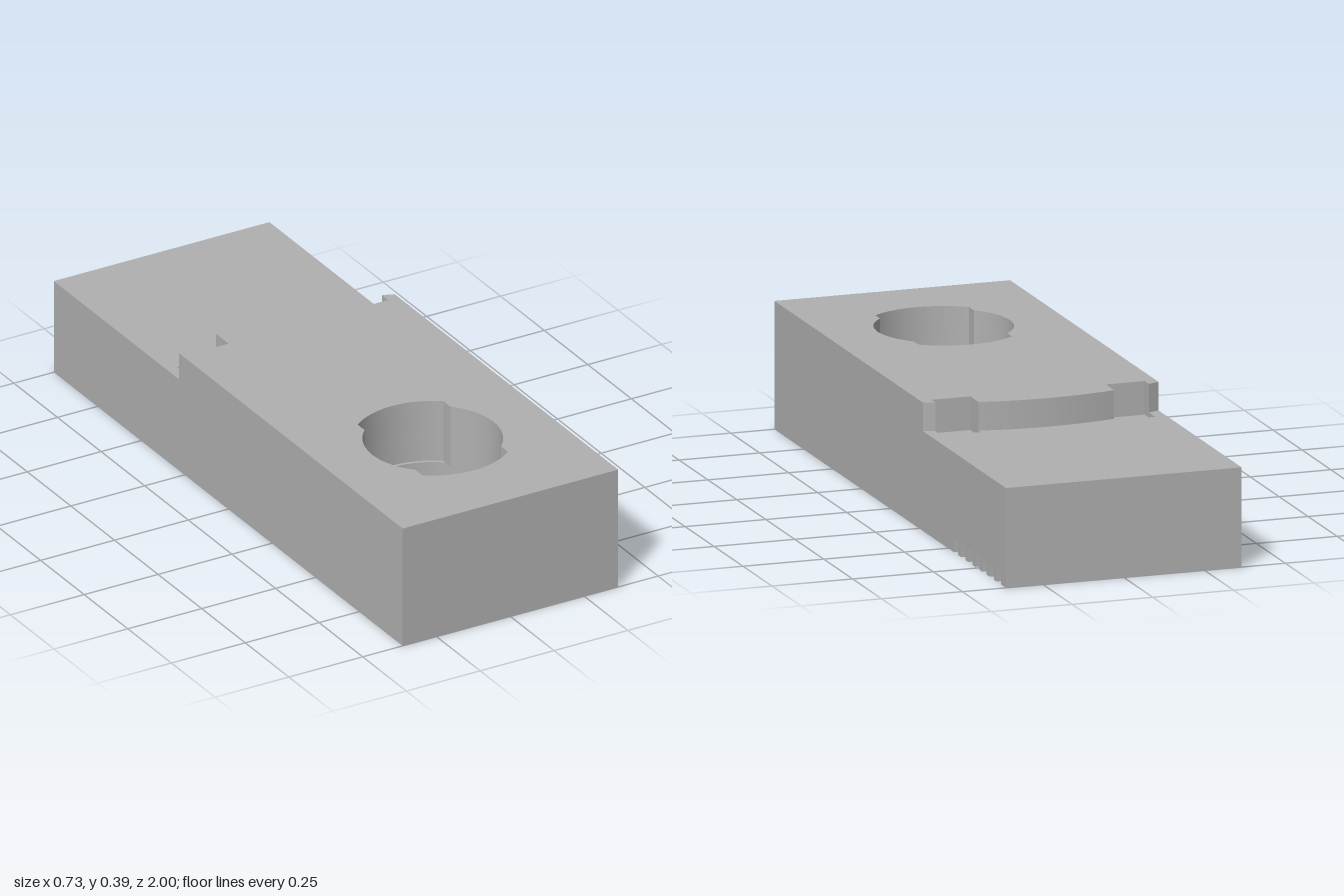
import * as THREE from 'three';
import { toCreasedNormals } from 'three/addons/utils/BufferGeometryUtils.js';

const W = 0.365, L = 1, WALL = 0.06;
const HOLE_Z = 0.555, BORE = 0.225;

// Plan shapes use (x, -z)
const rectPoints = (x0, x1, y0, y1) => [[x0, y0], [x1, y0], [x1, y1], [x0, y1]];
const vectors = (points) => points.map(([x, y]) => new THREE.Vector2(x, y));
const shapeOf = (points, holes = []) => {
  const shape = new THREE.Shape(vectors(points));
  shape.holes = holes.map((h) => new THREE.Path(vectors(h)));
  return shape;
};

function arcPoints(r, a0, a1, n) {
  const points = [];
  for (let i = 0; i <= n; i++) {
    const a = a0 + (a1 - a0) * i / n;
    points.push([r * Math.cos(a), r * Math.sin(a) - HOLE_Z]);
  }
  return points;
}
const circle = (r) => arcPoints(r, 0, Math.PI * 2, 72).slice(0, -1);

// Round hole with a wider lobe toward the front and the back
function keyhole() {
  const half = 0.145, small = 0.205, big = 0.235;
  const a = Math.acos(half / small), b = Math.acos(half / big);
  return [
    ...arcPoints(small, -a, a, 20),
    ...arcPoints(big, b, Math.PI - b, 20),
    ...arcPoints(small, Math.PI - a, Math.PI + a, 20),
    ...arcPoints(big, Math.PI + b, Math.PI * 2 - b, 20),
  ];
}

// Outer outline of the lower rim, with a row of notches along the left side
function notchedOutline() {
  const points = [[-W, -L], [W, -L]];
  for (let i = 0; i < 7; i++) {
    const y = 0.551 + i * 0.0615;
    points.push([W, y], [W - 0.03, y], [W - 0.03, y + 0.037], [W, y + 0.037]);
  }
  points.push([W, L], [-W, L]);
  return points;
}

// Raised slab: curved back edge with two square notches
function slabOutline() {
  const R = 0.95;
  const edge = (x) => [x, 0.355 - R + Math.sqrt(R * R - x * x)];
  const points = [[-W, -L], [W, -L], edge(W), edge(0.33), [0.33, 0.26], [0.21, 0.26]];
  for (let i = 0; i <= 24; i++) points.push(edge(0.21 - 0.42 * i / 24));
  points.push([-0.21, 0.26], [-0.33, 0.26], edge(-0.33), edge(-W));
  return points;
}

export function createModel() {
  const group = new THREE.Group();
  const grey = new THREE.MeshStandardMaterial({ color: 0xb0b0b0 });
  grey.name = 'grey';

  const layer = (name, shape, y0, y1) => {
    const geometry = new THREE.ExtrudeGeometry(shape, { depth: y1 - y0, bevelEnabled: false });
    geometry.rotateX(-Math.PI / 2);
    geometry.translate(0, y0, 0);
    const mesh = new THREE.Mesh(toCreasedNormals(geometry, 0.4), grey);
    mesh.name = name;
    group.add(mesh);
  };

  const outer = rectPoints(-W, W, -L, L);
  const inner = rectPoints(-W + WALL, W - WALL, -L + WALL, L - WALL);
  const pockets = [rectPoints(0.21, 0.33, 0.26, 0.35), rectPoints(-0.33, -0.21, 0.26, 0.35)];

  // Hollow underside
  layer('notchedRim', shapeOf(notchedOutline(), [inner]), 0, 0.04);
  layer('sideWalls', shapeOf(outer, [inner]), 0.04, 0.16);
  layer('boreRing', shapeOf(circle(0.287), [circle(BORE)]), 0, 0.16);

  // Solid deck with the stepped hole and two shallow pockets
  layer('deckBottom', shapeOf(outer, [circle(BORE)]), 0.16, 0.19);
  layer('deck', shapeOf(outer, [keyhole()]), 0.19, 0.285);
  layer('pocketedDeck', shapeOf(outer, [keyhole(), ...pockets]), 0.285, 0.3);

  // Raised front part
  layer('raisedSlab', shapeOf(slabOutline(), [keyhole()]), 0.3, 0.386);
  return group;
}
